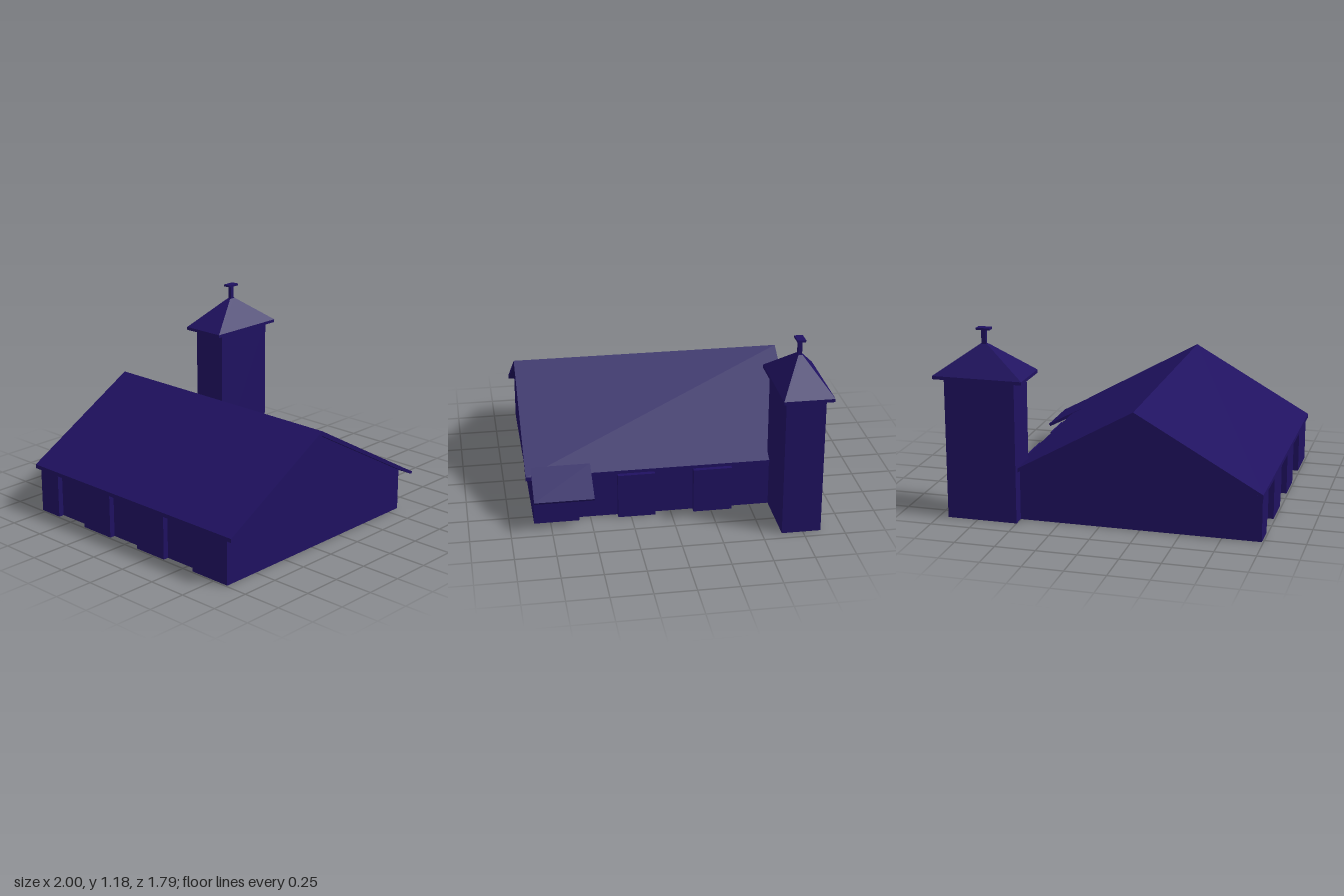
import * as THREE from 'three';

const material = new THREE.MeshStandardMaterial({ color: 0x1f1160, flatShading: true });

export function createModel() {
  const group = new THREE.Group();
  const add = (name, geometry) => {
    const mesh = new THREE.Mesh(geometry, material);
    mesh.name = name;
    group.add(mesh);
  };
  // Box given by its extents on each axis
  const box = (name, x0, x1, y0, y1, z0, z1) =>
    add(name, new THREE.BoxGeometry(x1 - x0, y1 - y0, z1 - z0)
      .translate((x0 + x1) / 2, (y0 + y1) / 2, (z0 + z1) / 2));
  // Outline in x and y, carried along z
  const prism = (name, points, z0, z1) => {
    const shape = new THREE.Shape(points.map(([x, y]) => new THREE.Vector2(x, y)));
    add(name, new THREE.ExtrudeGeometry(shape, { depth: z1 - z0, bevelEnabled: false }).translate(0, 0, z0));
  };

  // Gabled hall
  const ridge = -0.22;
  prism('hallWalls', [[-0.955, 0], [0.55, 0], [0.55, 0.285], [ridge, 0.72], [-0.955, 0.3]], -0.78, 0.85);
  prism('hallRoof', [
    [-1, 0.28], [ridge, 0.715], [0.56, 0.28], [0.56, 0.305], [ridge, 0.745], [-1, 0.305],
  ], -0.82, 0.89);

  // Projecting wall bays on both long sides
  for (const [z0, z1] of [[0.57, 0.85], [0.1, 0.33], [-0.38, -0.14], [-0.78, -0.62]]) {
    box('leftWallBay', 0.5, 0.59, 0, 0.285, z0, z1);
    box('rightWallBay', -0.99, -0.9, 0, 0.285, z0, z1);
  }

  // Porch roof continuing the slope of the main roof
  prism('porchRoof', [[0.5, 0.315], [0.72, 0.2], [0.73, 0.215], [0.5, 0.34]], 0.49, 0.855);

  // Tower with hipped roof and finial
  const tx = 0.72, tz = -0.742;
  box('tower', 0.5, 0.94, 0, 0.885, -0.86, -0.62);
  box('towerEave', 0.44, 1, 0.88, 0.9, -0.895, -0.59);
  add('towerRoof', new THREE.CylinderGeometry(0.08 * Math.SQRT2, Math.SQRT2, 0.18, 4)
    .rotateY(Math.PI / 4).scale(0.28, 1, 0.1525).translate(tx, 0.99, tz));
  box('finialPost', tx - 0.014, tx + 0.014, 1.07, 1.17, tz - 0.012, tz + 0.012);
  box('finialCap', tx - 0.042, tx + 0.042, 1.167, 1.18, tz - 0.026, tz + 0.026);

  return group;
}
